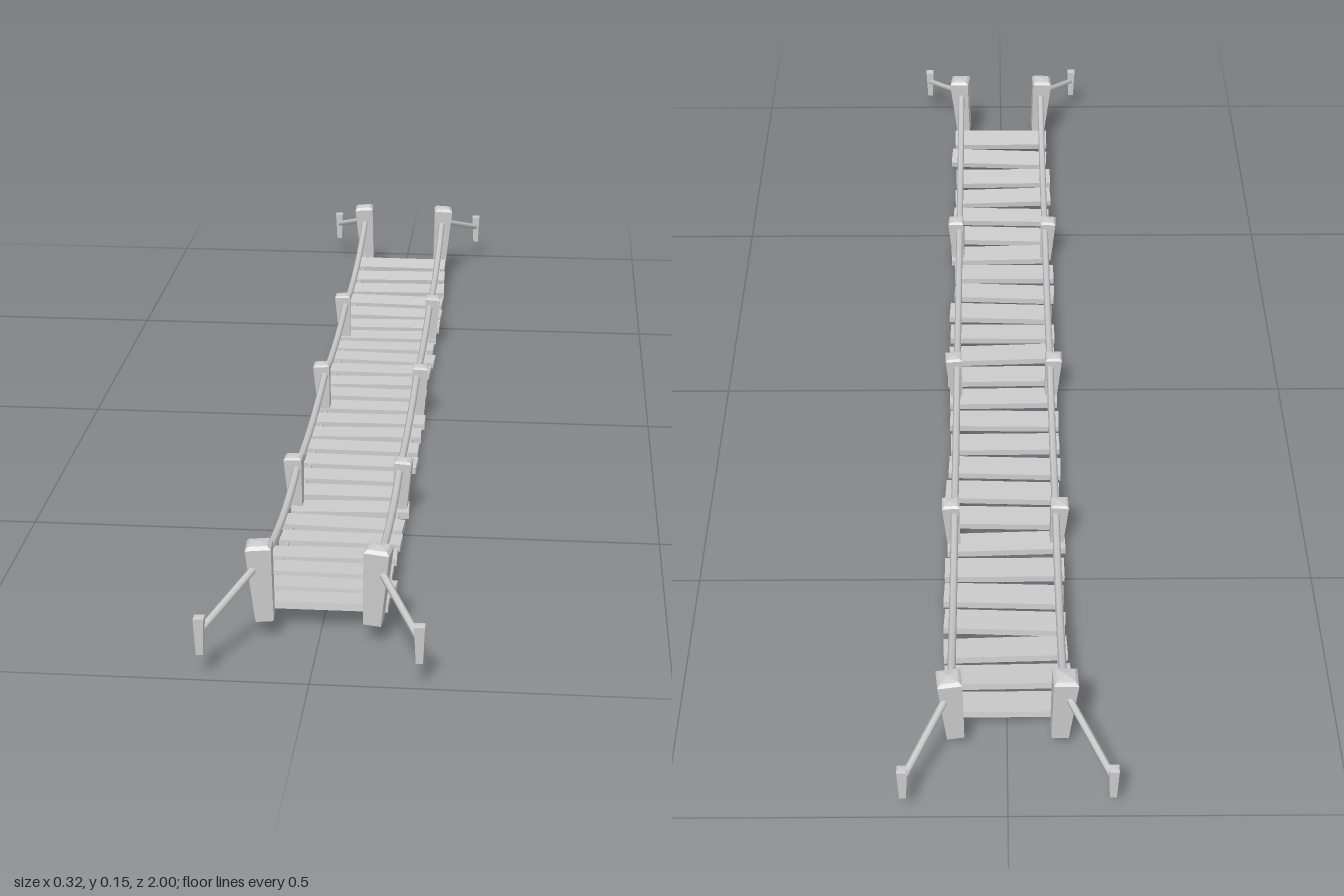
import * as THREE from 'three';

const wood = new THREE.MeshStandardMaterial({ color: 0xcccccc, flatShading: true });
const ropeMat = new THREE.MeshStandardMaterial({ color: 0xcccccc });

let seed = 7;
function jitter(amount) {
  seed = (seed * 16807) % 2147483647;
  return (seed / 2147483647 - 0.5) * 2 * amount;
}

const v = (x, y, z) => new THREE.Vector3(x, y, z);

function add(parent, name, geometry, material) {
  const mesh = new THREE.Mesh(geometry, material);
  mesh.name = name;
  parent.add(mesh);
  return mesh;
}

// Four-sided tapered post with a low pyramid cap, base at the origin
function postGeometry(bottom, top, height, cap) {
  const k = Math.SQRT1_2;
  const profile = [[0, 0], [bottom * k, 0], [top * k, height - cap], [top * k * 0.75, height - cap * 0.4], [0, height]];
  return new THREE.LatheGeometry(profile.map(([x, y]) => new THREE.Vector2(x, y)), 4).rotateY(Math.PI / 4);
}

function rope(parent, name, points, radius, steps) {
  const curve = new THREE.CatmullRomCurve3(points);
  add(parent, name, new THREE.TubeGeometry(curve, steps, radius, 6), ropeMat);
}

// Height of the deck centre line: flat in the middle, rising to both ends
function deckY(z) {
  const t = Math.max(0, (Math.abs(z) - 0.38) / 0.48);
  return 0.009 + 0.034 * t * t;
}

export function createModel() {
  const bridge = new THREE.Group();
  bridge.name = 'ropeBridge';

  // Deck planks, each slightly crooked
  const planks = new THREE.Group();
  planks.name = 'planks';
  bridge.add(planks);
  const count = 26;
  for (let i = 0; i < count; i++) {
    const z = -0.81 + (1.62 * i) / (count - 1);
    const end = i === 0 || i === count - 1;
    const geometry = new THREE.BoxGeometry(0.193 + jitter(0.003), 0.011, 0.046 + jitter(0.002));
    const plank = add(planks, 'plank', geometry, wood);
    plank.position.set(jitter(0.005), deckY(z), z);
    const slope = (deckY(z + 0.01) - deckY(z - 0.01)) / 0.02;
    plank.rotation.set(-Math.atan(slope), end ? 0 : jitter(0.05), jitter(0.008));
  }

  const middle = [0.415, -0.02, -0.415];
  for (const side of [-1, 1]) {
    // Rope carrying the planks
    const deckPoints = [];
    for (let i = 0; i <= 16; i++) {
      const z = -0.86 + (1.72 * i) / 16;
      deckPoints.push(v(side * 0.082, deckY(z), z));
    }
    rope(bridge, 'deckRope', deckPoints, 0.0035, 48);

    // Handrail posts along the deck
    for (const z of middle) {
      const post = add(bridge, 'railPost', postGeometry(0.021, 0.029, 0.091, 0.005), wood);
      post.position.set(side * 0.085, 0.009, z);
      post.rotation.set(jitter(0.02), jitter(0.06), -side * 0.05);
    }

    // Handrail rope sagging between the posts
    const stops = [[0.865, 0.122], [0.415, 0.08], [-0.02, 0.08], [-0.415, 0.08], [-0.865, 0.122]];
    for (let i = 0; i < 4; i++) {
      const [z0, y0] = stops[i];
      const [z1, y1] = stops[i + 1];
      const sag = i === 0 || i === 3 ? 0.021 : 0.011;
      const points = [];
      for (let j = 0; j <= 8; j++) {
        const t = j / 8;
        const y = y0 + (y1 - y0) * t - 4 * sag * t * (1 - t);
        points.push(v(side * 0.083, y, z0 + (z1 - z0) * t));
      }
      rope(bridge, 'handRope', points, 0.0062, 16);
    }

    for (const end of [-1, 1]) {
      // Main post, leaning outwards
      const post = add(bridge, 'endPost', postGeometry(0.026, 0.037, 0.122, 0.008), wood);
      post.position.set(side * 0.078, 0.033, end * 0.863);
      post.rotation.set(0, jitter(0.12), -side * 0.065);

      // Ground stake and its guy rope
      const stake = add(bridge, 'stake', postGeometry(0.01, 0.015, 0.057, 0.001), wood);
      stake.position.set(side * 0.152, 0.04, end * 0.9925);
      rope(bridge, 'guyRope', [v(side * 0.152, 0.073, end * 0.991), v(side * 0.086, 0.12, end * 0.866)], 0.0055, 4);
    }
  }
  return bridge;
}
